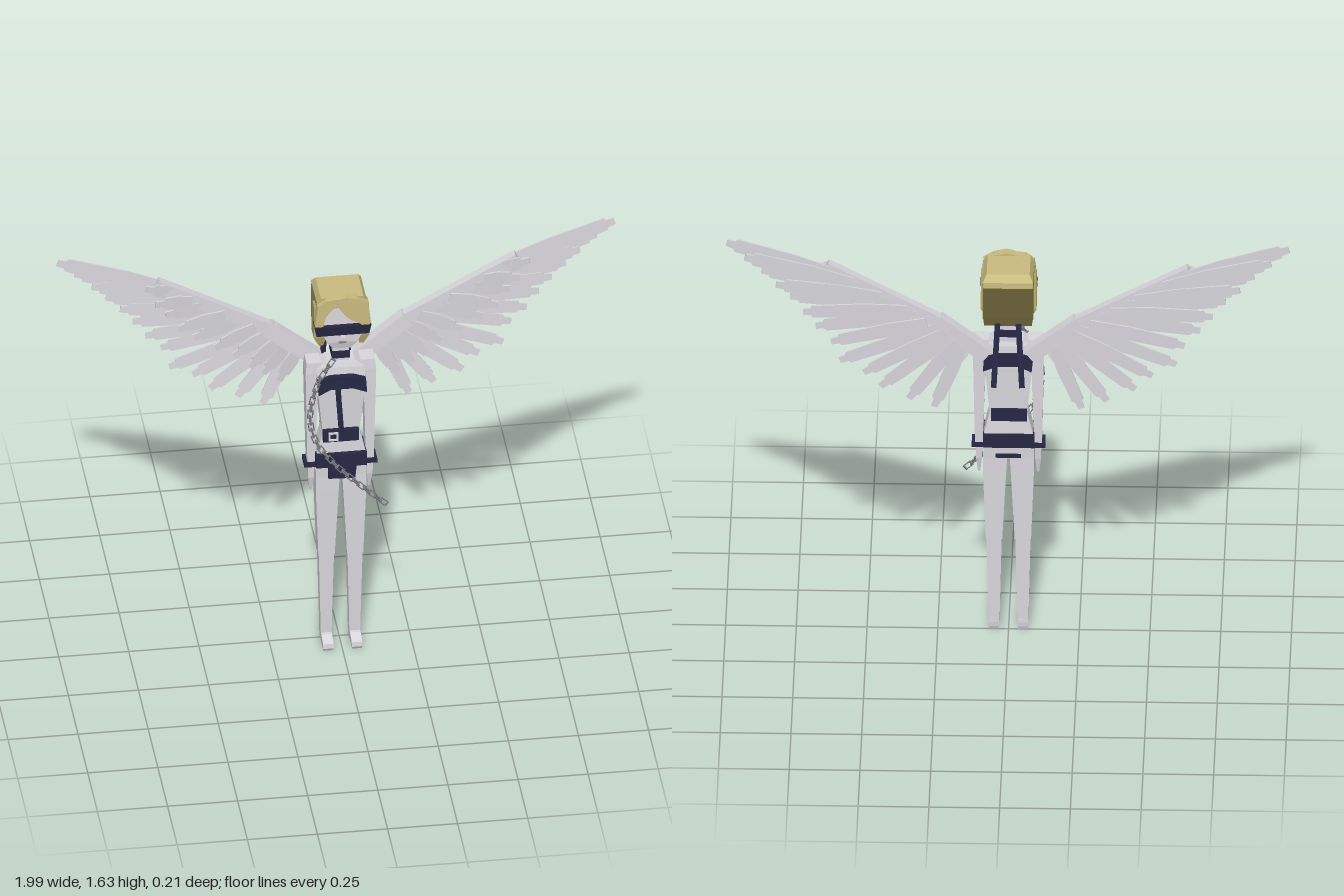
import * as THREE from 'three';

const flat = (name, color) => {
  const m = new THREE.MeshStandardMaterial({ color });
  m.name = name;
  return m;
};

export function createModel() {
  const pale = flat('pale', 0xd9d7dd);
  const navy = flat('navy', 0x272744);
  const blond = flat('blond', 0xc9bc80);
  const darkBlond = flat('darkBlond', 0x9c9055);
  const midBlond = flat('midBlond', 0xb3a668);
  const shadeBlond = flat('shadeBlond', 0x6a6038);
  const steel = flat('steel', 0x77777c);
  const lip = flat('lip', 0x8d868c);
  const root = new THREE.Group();
  root.name = 'wingedFigure';

  const add = (name, geometry, material, parent = root) => {
    const m = new THREE.Mesh(geometry, material);
    m.name = name;
    parent.add(m);
    return m;
  };
  const group = (name, parent = root) => {
    const g = new THREE.Group();
    g.name = name;
    parent.add(g);
    return g;
  };

  // Flat-shaded loft through rectangles [y, x0, x1, z0, z1], bottom to top
  const loft = (rows) => {
    const pos = [];
    const rings = rows.map(([y, a, b, c, d]) => [[a, y, d], [b, y, d], [b, y, c], [a, y, c]]);
    const quad = (a, b, c, d) => pos.push(...a, ...b, ...c, ...a, ...c, ...d);
    for (let i = 0; i < rings.length - 1; i++)
      for (let k = 0; k < 4; k++) {
        const n = (k + 1) % 4;
        quad(rings[i][k], rings[i][n], rings[i + 1][n], rings[i + 1][k]);
      }
    quad(...[...rings[0]].reverse());
    quad(...rings[rings.length - 1]);
    const g = new THREE.BufferGeometry();
    g.setAttribute('position', new THREE.Float32BufferAttribute(pos, 3));
    g.computeVertexNormals();
    return g;
  };
  // Same loft on one side of the body: s = 1 left, -1 right
  const sideLoft = (s, rows) => loft(rows.map(([y, a, b, c, d]) =>
    s > 0 ? [y, a, b, c, d] : [y, -b, -a, c, d]));
  const centred = (rows) => loft(rows.map(([y, w, c, d]) => [y, -w, w, c, d]));
  const plate = (points, z0, z1) => {
    const shape = new THREE.Shape(points.map(([x, y]) => new THREE.Vector2(x, y)));
    return new THREE.ExtrudeGeometry(shape, { depth: z1 - z0, bevelEnabled: false }).translate(0, 0, z0);
  };
  const box = (x0, x1, y0, y1, z0, z1) => loft([[y0, x0, x1, z0, z1], [y1, x0, x1, z0, z1]]);

  // Torso, neck and head
  add('torso', centred([
    [0.71, 0.085, -0.02, 0.05], [0.8, 0.09, -0.025, 0.055], [0.9, 0.066, -0.018, 0.052],
    [1.08, 0.084, -0.025, 0.062], [1.17, 0.086, -0.022, 0.052], [1.195, 0.05, -0.015, 0.045]]), pale);
  add('neck', centred([[1.17, 0.03, -0.017, 0.043], [1.3, 0.03, -0.017, 0.043]]), pale);
  add('head', centred([
    [1.27, 0.03, 0.01, 0.08], [1.3, 0.055, -0.04, 0.088], [1.36, 0.078, -0.06, 0.09],
    [1.47, 0.078, -0.06, 0.088]]), pale);
  add('nose', centred([[1.325, 0.01, 0.085, 0.1], [1.345, 0.005, 0.085, 0.096]]), pale);
  add('mouth', box(-0.014, 0.014, 1.298, 1.305, 0.084, 0.092), lip);

  // Hair: darker sides and back under a light crown and fringe
  const hair = group('hair');
  add('hairSides', centred([
    [1.295, 0.084, -0.068, 0.03], [1.315, 0.09, -0.073, 0.058], [1.44, 0.09, -0.075, 0.062],
    [1.462, 0.088, -0.072, 0.078]]), darkBlond, hair);
  add('hairBack', centred([
    [1.287, 0.084, -0.078, -0.069], [1.32, 0.088, -0.08, -0.072], [1.44, 0.088, -0.08, -0.072]]), shadeBlond, hair);
  add('hairCrown', centred([
    [1.44, 0.087, -0.08, 0.06], [1.462, 0.089, -0.079, 0.079], [1.486, 0.076, -0.058, 0.082]]), blond, hair);
  add('leftFringe', plate([[0.1, 1.385], [0.09, 1.465], [0.05, 1.488], [0.01, 1.497], [-0.02, 1.49],
    [-0.015, 1.455], [0.005, 1.425], [0.03, 1.4], [0.06, 1.385], [0.075, 1.37], [0.09, 1.37]], 0.07, 0.104), blond, hair);
  add('rightFringe', plate([[-0.1, 1.38], [-0.072, 1.37], [-0.06, 1.42], [-0.035, 1.45], [-0.012, 1.456],
    [-0.015, 1.49], [-0.06, 1.485], [-0.09, 1.462]], 0.07, 0.1), blond, hair);
  for (const s of [1, -1])
    add('sideLock', sideLoft(s, [
      [1.272, 0.065, 0.08, 0.01, 0.058], [1.31, 0.055, 0.099, 0.0, 0.066],
      [1.44, 0.07, 0.098, 0.02, 0.064]]), midBlond, hair);

  // Blindfold with two ribbon tails
  add('blindfold', centred([[1.338, 0.094, 0.055, 0.1], [1.378, 0.101, 0.055, 0.106]]), navy);

  const placeBetween = (mesh, a, b) => {
    const p = new THREE.Vector3(...a), d = new THREE.Vector3(...b).sub(p);
    mesh.position.copy(p);
    mesh.quaternion.setFromUnitVectors(new THREE.Vector3(0, 1, 0), d.normalize());
    return mesh;
  };
  const bar = (name, a, b, w, t, mat, parent) => {
    const len = new THREE.Vector3(...a).distanceTo(new THREE.Vector3(...b));
    return placeBetween(add(name, box(-w / 2, w / 2, 0, len, -t / 2, t / 2), mat, parent), a, b);
  };
  for (const s of [1, -1])
    bar('ribbonTail', [s * 0.05, 1.05, -0.106], [s * 0.035, 1.33, -0.072], 0.02, 0.005, navy);

  // Arms, legs and feet
  for (const s of [1, -1]) {
    const arm = group(s > 0 ? 'leftArm' : 'rightArm');
    add('upperArm', sideLoft(s, [
      [0.95, 0.085, 0.122, -0.017, 0.044], [1.15, 0.08, 0.126, -0.02, 0.048],
      [1.192, 0.07, 0.122, -0.018, 0.046]]), pale, arm);
    add('forearm', sideLoft(s, [
      [0.75, 0.09, 0.118, -0.01, 0.038], [0.95, 0.086, 0.122, -0.016, 0.043]]), pale, arm);
    add('hand', sideLoft(s, [
      [0.64, 0.1, 0.108, 0.011, 0.02], [0.7, 0.094, 0.115, -0.002, 0.034],
      [0.755, 0.094, 0.116, -0.006, 0.036]]), pale, arm);
    add('wristBand', sideLoft(s, [
      [0.752, 0.082, 0.13, -0.016, 0.046], [0.77, 0.082, 0.13, -0.016, 0.046]]), navy, arm);

    const leg = group(s > 0 ? 'leftLeg' : 'rightLeg');
    add('thigh', sideLoft(s, [
      [0.375, 0.022, 0.08, -0.012, 0.046], [0.65, 0.008, 0.09, -0.015, 0.05],
      [0.74, 0.003, 0.09, -0.015, 0.05]]), pale, leg);
    add('shin', sideLoft(s, [
      [0.03, 0.032, 0.07, -0.004, 0.036], [0.375, 0.024, 0.078, -0.007, 0.042]]), pale, leg);
    add('foot', sideLoft(s, [
      [0, 0.034, 0.068, 0.0, 0.09], [0.012, 0.032, 0.07, -0.004, 0.097],
      [0.03, 0.032, 0.07, -0.006, 0.095], [0.042, 0.032, 0.07, -0.006, 0.05]]), pale, leg);
  }

  // Harness: collar, chest band, belts
  add('collar', box(-0.032, 0.032, 1.208, 1.235, -0.023, 0.05), navy);
  add('chestBand', plate([[-0.082, 1.07], [-0.04, 1.092], [0.04, 1.092], [0.09, 1.072], [0.086, 1.128],
    [0.04, 1.143], [-0.04, 1.143], [-0.088, 1.128]], -0.033, 0.075), navy);
  bar('chestStrap', [0, 0.9, 0.063], [-0.014, 1.1, 0.068], 0.018, 0.014, navy);
  add('waistBelt', box(-0.066, 0.062, 0.868, 0.915, -0.03, 0.07), navy);
  add('hipBelt', box(-0.092, 0.09, 0.762, 0.814, -0.036, 0.072), navy);
  add('hipPanelFront', plate([[-0.047, 0.712], [0.048, 0.708], [0.055, 0.77], [-0.047, 0.77]], 0.05, 0.068), navy);
  add('hipTrimBack', box(-0.045, 0.045, 0.716, 0.73, -0.027, -0.015), navy);
  const buckle = group('buckle');
  for (const s of [1, -1]) {
    add('buckleSide', box(-0.03 + s * 0.014 - 0.003, -0.03 + s * 0.014 + 0.003, 0.875, 0.909, 0.07, 0.076), pale, buckle);
    add('buckleBar', box(-0.047, -0.013, 0.892 + s * 0.014 - 0.003, 0.892 + s * 0.014 + 0.003, 0.07, 0.076), pale, buckle);
  }

  // Hanging chain of alternately turned links
  const chain = group('chain');
  const path = new THREE.CatmullRomCurve3([
    [0.155, 0.605, 0.092], [0.065, 0.69, 0.092], [-0.03, 0.79, 0.09], [-0.095, 0.89, 0.09],
    [-0.115, 1.0, 0.088], [-0.085, 1.13, 0.08], [-0.03, 1.215, 0.068]].map((p) => new THREE.Vector3(...p)));
  const linkGeo = new THREE.TorusGeometry(0.0135, 0.0034, 4, 4).rotateZ(Math.PI / 4).scale(0.9, 1.5, 1).toNonIndexed();
  linkGeo.computeVertexNormals();
  const links = 27;
  for (let i = 0; i < links; i++) {
    const u = (i + 0.5) / links, p = path.getPointAt(u), t = path.getTangentAt(u);
    const m = placeBetween(add('chainLink', linkGeo, steel, chain), p.toArray(), p.clone().add(t).toArray());
    m.rotateY((i % 2) * Math.PI / 2);
  }

  // Wings: two bones, long flight feathers behind and coverts in front
  const feather = (a, b, w, parent, name) => {
    const len = new THREE.Vector3(...a).distanceTo(new THREE.Vector3(...b)), h = w / 2;
    const geo = plate([[-h * 0.7, 0], [h * 0.7, 0], [h, len * 0.4], [h * 0.85, len - 0.035],
      [h * 0.5, len - 0.028], [h * 0.45, len], [-h * 0.45, len], [-h * 0.5, len - 0.028],
      [-h * 0.85, len - 0.035], [-h, len * 0.4]], -0.003, 0.003);
    placeBetween(add(name, geo, pale, parent), a, b);
  };
  const flightTips = [[0.26, 0.955], [0.35, 0.99], [0.45, 1.035], [0.51, 1.095], [0.595, 1.14], [0.625, 1.22],
    [0.68, 1.28], [0.725, 1.34], [0.77, 1.4], [0.82, 1.45], [0.87, 1.505], [0.93, 1.56], [0.993, 1.615]];
  const covertTips = [[0.21, 1.08], [0.265, 1.11], [0.315, 1.145], [0.37, 1.195], [0.44, 1.24], [0.515, 1.285],
    [0.57, 1.33], [0.615, 1.39], [0.65, 1.44], [0.685, 1.505]];
  const at = (line, u) => {
    const f = u * (line.length - 1), i = Math.min(Math.floor(f), line.length - 2), k = f - i;
    return [0, 1].map((c) => line[i][c] + (line[i + 1][c] - line[i][c]) * k);
  };
  for (const s of [1, -1]) {
    const wing = group(s > 0 ? 'leftWing' : 'rightWing');
    bar('innerBone', [s * 0.075, 1.155, -0.05], [s * 0.25, 1.293, -0.055], 0.055, 0.045, pale, wing);
    bar('outerBone', [s * 0.225, 1.28, -0.056], [s * 0.645, 1.508, -0.056], 0.047, 0.034, pale, wing);
    flightTips.forEach(([x, y], i) => {
      const u = i / (flightTips.length - 1);
      const [rx, ry] = at([[0.16, 1.2], [0.25, 1.27], [0.4, 1.37], [0.6, 1.482]], u);
      feather([s * rx, ry, -0.07 - (i % 2) * 0.006], [s * x, y, -0.08 - (i % 2) * 0.006],
        0.052 + 0.008 * u, wing, 'flightFeather');
    });
    covertTips.forEach(([x, y], i) => {
      const u = i / (covertTips.length - 1);
      const [rx, ry] = at([[0.14, 1.2], [0.24, 1.275], [0.4, 1.37], [0.58, 1.475]], u);
      feather([s * rx, ry, -0.038 - (i % 2) * 0.006], [s * x, y, -0.03 - (i % 2) * 0.006],
        0.055, wing, 'covertFeather');
    });
  }
  return root;
}
